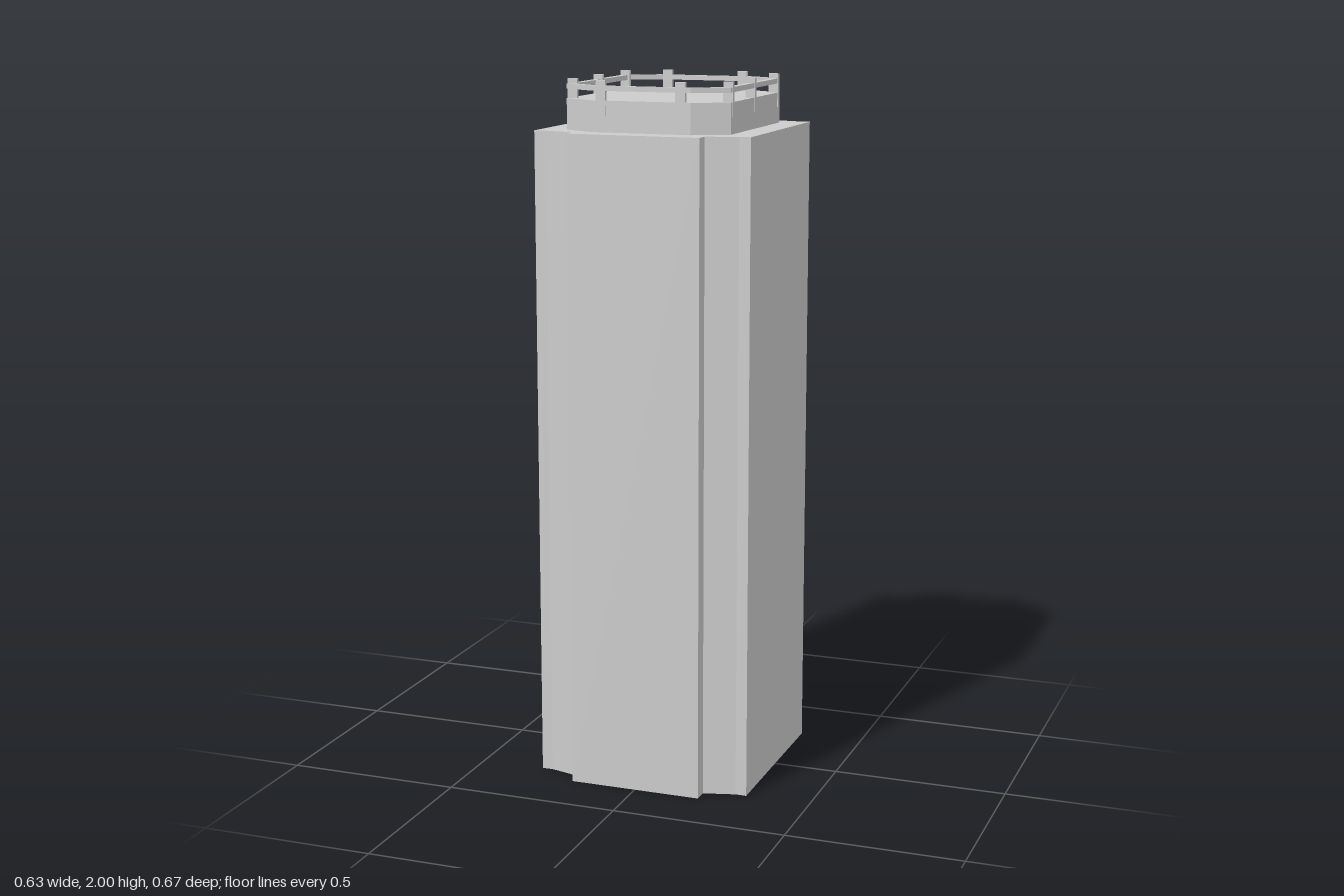
import * as THREE from 'three';

const material = new THREE.MeshStandardMaterial({ color: 0xcccccc, flatShading: true, side: THREE.DoubleSide });

// Mirror one quarter outline (+x, +z quadrant, from the side to the front) into a closed loop
function mirrorQuarter(quarter) {
  const half = [...quarter, ...quarter.map(([x, z]) => [-x, z]).reverse()];
  return [...half, ...half.map(([x, z]) => [x, -z]).reverse()].map(([x, z]) => new THREE.Vector2(x, z));
}

// Extrude a flat plan upwards from y0 to y1
function extrudePlan(shape, y0, y1) {
  const geometry = new THREE.ExtrudeGeometry(shape, { depth: y1 - y0, bevelEnabled: false });
  return geometry.rotateX(-Math.PI / 2).translate(0, y0, 0);
}

// Walls only, without a floor
function wallLoop(points, y0, y1) {
  const positions = [];
  points.forEach((a, i) => {
    const b = points[(i + 1) % points.length];
    positions.push(a.x, y0, -a.y, b.x, y0, -b.y, b.x, y1, -b.y);
    positions.push(a.x, y0, -a.y, b.x, y1, -b.y, a.x, y1, -a.y);
  });
  const geometry = new THREE.BufferGeometry();
  geometry.setAttribute('position', new THREE.Float32BufferAttribute(positions, 3));
  geometry.computeVertexNormals();
  return geometry;
}

export function createModel() {
  const model = new THREE.Group();
  model.name = 'tower';
  const add = (name, geometry, parent = model) => {
    const mesh = new THREE.Mesh(geometry, material);
    mesh.name = name;
    parent.add(mesh);
    return mesh;
  };

  // Hollow shaft with notched corners, open underneath
  const shaftTop = 1.86;
  const shaft = mirrorQuarter([[0.314, 0.269], [0.282, 0.269], [0.192, 0.293], [0.192, 0.335]]);
  add('shaftWalls', wallLoop(shaft, 0, shaftTop));
  add('shaftRoof', new THREE.ShapeGeometry(new THREE.Shape(shaft)).rotateX(-Math.PI / 2).translate(0, shaftTop, 0));

  // Chamfered platform on the roof
  const outer = mirrorQuarter([[0.239, 0.215], [0.142, 0.266]]);
  add('platform', extrudePlan(new THREE.Shape(outer), shaftTop, 1.946));

  // Railing: one ring rail carried by posts
  const railing = new THREE.Group();
  railing.name = 'railing';
  model.add(railing);
  const ring = new THREE.Shape(outer);
  ring.holes.push(new THREE.Path(mirrorQuarter([[0.22, 0.203], [0.131, 0.256]]).reverse()));
  add('rail', extrudePlan(ring, 1.972, 1.986), railing);

  const postGeometry = new THREE.BoxGeometry(0.028, 0.095, 0.012);
  for (const side of [-1, 1]) {
    for (const z of [-0.2, 0.009, 0.198]) {
      add('sidePost', postGeometry, railing).position.set(side * 0.227, 1.9525, z);
    }
    for (const x of [-0.118, 0.112]) {
      add('endPost', postGeometry, railing).position.set(x, 1.9525, side * 0.261);
    }
  }
  return model;
}
